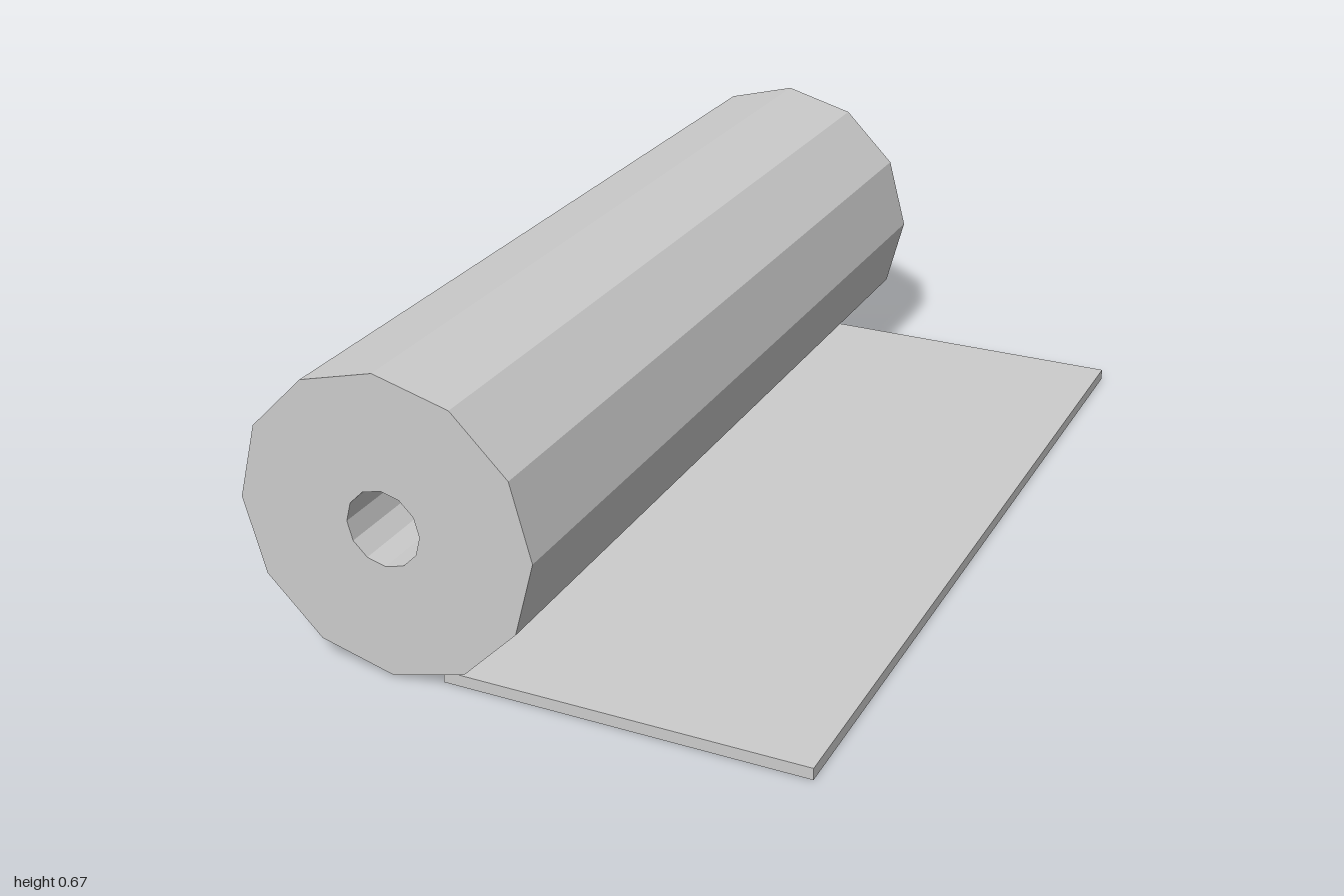
import * as THREE from 'three';

export function createModel() {
  const model = new THREE.Group();
  model.name = 'rolledMat';
  const grey = new THREE.MeshStandardMaterial({ color: 0xcccccc, flatShading: true });
  grey.name = 'lightGrey';

  // Twelve-sided roll with a deep core hole open at the front and a closed back
  const R = 0.332, r = 0.083, floor = -0.98;
  const profile = [[0, -1], [R, -1], [R, 1], [r, 1], [r, floor], [0, floor]]
    .map(([x, y]) => new THREE.Vector2(x, y));
  const rollGeometry = new THREE.LatheGeometry(profile, 12);
  rollGeometry.rotateX(Math.PI / 2);
  const roll = new THREE.Mesh(rollGeometry, grey);
  roll.name = 'roll';
  roll.position.set(-0.284, 0.336, 0);
  model.add(roll);

  // Flat unrolled sheet lying on the ground, tucked under the roll
  const sheet = new THREE.Mesh(new THREE.BoxGeometry(0.797, 0.026, 1.955), grey);
  sheet.name = 'unrolledSheet';
  sheet.position.set(0.2165, 0.013, -0.0025);
  model.add(sheet);

  return model;
}
